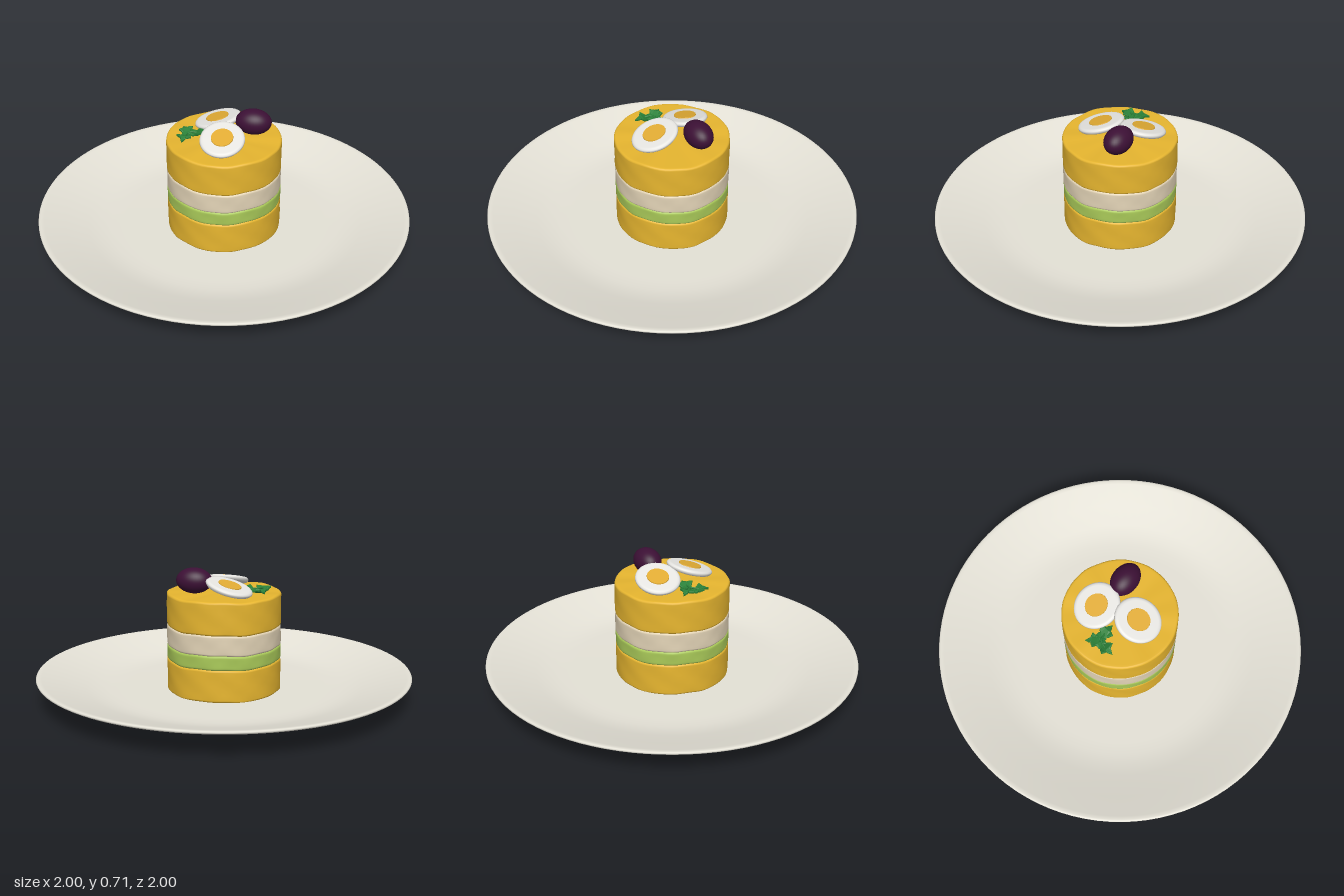
import * as THREE from 'three';
import { mergeVertices } from 'three/addons/utils/BufferGeometryUtils.js';

const mat = (name, color, side = THREE.FrontSide) => {
  const m = new THREE.MeshStandardMaterial({ color, side });
  m.name = name;
  return m;
};

const lathe = (pts, seg) =>
  new THREE.LatheGeometry(pts.map(([x, y]) => new THREE.Vector2(x, y)), seg);

export function createModel() {
  const porcelain = mat('porcelain', 0xe4e1d6);
  const potato = mat('yellowPotato', 0xe6b52f);
  const avocado = mat('avocadoGreen', 0xa8c858);
  const filling = mat('creamFilling', 0xe2d3b6);
  const eggWhite = mat('eggWhite', 0xecebe7);
  const yolk = mat('yolk', 0xe2ac34);
  const oliveSkin = mat('olivePurple', 0x3c1035);
  const herb = mat('parsleyGreen', 0x2a8038, THREE.DoubleSide);

  const model = new THREE.Group();
  model.name = 'layeredPotatoCake';
  const add = (parent, name, geo, material) => {
    const mesh = new THREE.Mesh(geo, material);
    mesh.name = name;
    parent.add(mesh);
    return mesh;
  };

  // Wide shallow plate
  add(model, 'plate', lathe([
    [0, 0], [0.542, 0], [0.55, 0.002], [0.56, 0.005], [0.97, 0.12], [0.99, 0.127],
    [0.998, 0.132], [1, 0.137], [0.997, 0.142], [0.988, 0.144], [0.97, 0.141],
    [0.86, 0.108], [0.74, 0.074], [0.68, 0.06], [0.62, 0.052], [0.55, 0.05], [0, 0.05],
  ], 96), porcelain);

  // Stacked layers: rounded discs with a gently uneven surface
  const layer = (name, y0, y1, material) => {
    const R = 0.303, c = 0.012, pts = [[0, y0], [0.15, y0], [0.28, y0]];
    for (let i = 0; i <= 4; i++) {
      const a = (i / 4) * Math.PI / 2;
      pts.push([R - c + c * Math.sin(a), y0 + c - c * Math.cos(a)]);
    }
    for (let i = 1; i < 6; i++) pts.push([R, y0 + c + (y1 - y0 - 2 * c) * i / 6]);
    for (let i = 0; i <= 4; i++) {
      const a = (i / 4) * Math.PI / 2;
      pts.push([R - c + c * Math.cos(a), y1 - c + c * Math.sin(a)]);
    }
    pts.push([0.28, y1], [0.15, y1], [0, y1]);
    let geo = lathe(pts, 72);
    geo.deleteAttribute('uv');
    geo.deleteAttribute('normal');
    geo = mergeVertices(geo, 1e-5);
    const p = geo.attributes.position;
    for (let i = 0; i < p.count; i++) {
      const x = p.getX(i), y = p.getY(i), z = p.getZ(i);
      const a = Math.atan2(x, z), r = Math.hypot(x, z) / R;
      const bump = Math.sin(a * 9 + y * 45) * 0.5 + Math.sin(a * 17 - y * 70) * 0.35;
      const k = 1 + 0.005 * bump * r;
      const dy = 0.0025 * r * (Math.sin(a * 5 + 1) + 0.6 * Math.sin(a * 11));
      p.setXYZ(i, x * k, y + dy, z * k);
    }
    geo.computeVertexNormals();
    add(model, name, geo, material);
  };
  layer('bottomPotatoLayer', 0.048, 0.222, potato);
  layer('avocadoLayer', 0.219, 0.297, avocado);
  layer('fillingLayer', 0.294, 0.404, filling);
  layer('topPotatoLayer', 0.401, 0.576, potato);

  // Tilted egg slices with a thin yolk disc
  const egg = (name, pos, normal, spin) => {
    const g = new THREE.Group();
    g.name = name;
    g.position.set(...pos);
    g.quaternion.setFromUnitVectors(new THREE.Vector3(0, 1, 0), new THREE.Vector3(...normal).normalize());
    const slice = new THREE.Group();
    slice.name = name + 'Slice';
    slice.rotation.y = spin;
    slice.scale.set(1.06, 1, 0.98);
    g.add(slice);
    add(slice, 'eggWhite', lathe([
      [0, -0.016], [0.095, -0.016], [0.112, -0.011], [0.12, 0], [0.118, 0.008],
      [0.111, 0.014], [0.1, 0.016], [0, 0.016],
    ], 48), eggWhite);
    add(slice, 'yolk', new THREE.CylinderGeometry(0.058, 0.06, 0.008, 36), yolk).position.y = 0.0165;
    model.add(g);
  };
  egg('leftEgg', [-0.11, 0.618, -0.048], [-0.26, 1, 0.13], 0.5);
  egg('rightEgg', [0.078, 0.619, 0.074], [0.2, 1, 0.22], -0.75);

  // Olive lying diagonally
  const olive = add(model, 'olive', new THREE.SphereGeometry(1, 36, 24), oliveSkin);
  olive.scale.set(0.096, 0.068, 0.07);
  olive.rotation.y = 0.72;
  olive.position.set(0.06, 0.642, -0.15);

  // Parsley sprig: lobed, curled leaves and a stem
  const sprig = new THREE.Group();
  sprig.name = 'parsley';
  model.add(sprig);
  const leaf = (x, y, z, size, spin, tilt) => {
    const shape = new THREE.Shape();
    const n = 40;
    for (let i = 0; i < n; i++) {
      const a = (i / n) * Math.PI * 2;
      const r = size * (0.74 + 0.2 * Math.cos(a * 5) + 0.08 * Math.cos(a * 15));
      shape[i ? 'lineTo' : 'moveTo'](Math.cos(a) * r * 1.1, Math.sin(a) * r * 0.85);
    }
    const geo = new THREE.ExtrudeGeometry(shape, { depth: 0.007, bevelEnabled: true, bevelThickness: 0.003, bevelSize: 0.003, bevelSegments: 2 });
    const p = geo.attributes.position;
    for (let i = 0; i < p.count; i++) {
      p.setZ(i, p.getZ(i) + 0.006 * Math.sin(p.getX(i) * 90) + 2 * p.getY(i) ** 2);
    }
    geo.rotateX(-Math.PI / 2);
    geo.computeVertexNormals();
    const m = add(sprig, 'parsleyLeaf', geo, herb);
    m.position.set(x, y, z);
    m.rotation.set(0, spin, tilt);
  };
  leaf(-0.155, 0.583, 0.125, 0.043, 2.9, 0.1);
  leaf(-0.1, 0.589, 0.098, 0.048, 0.6, 0.12);
  leaf(-0.115, 0.584, 0.17, 0.045, -1.0, 0.06);
  const stem = new THREE.CatmullRomCurve3([
    new THREE.Vector3(-0.1, 0.594, 0.1), new THREE.Vector3(-0.125, 0.596, 0.135), new THREE.Vector3(-0.115, 0.59, 0.175),
  ]);
  add(sprig, 'parsleyStem', new THREE.TubeGeometry(stem, 12, 0.005, 8), herb);

  return model;
}
